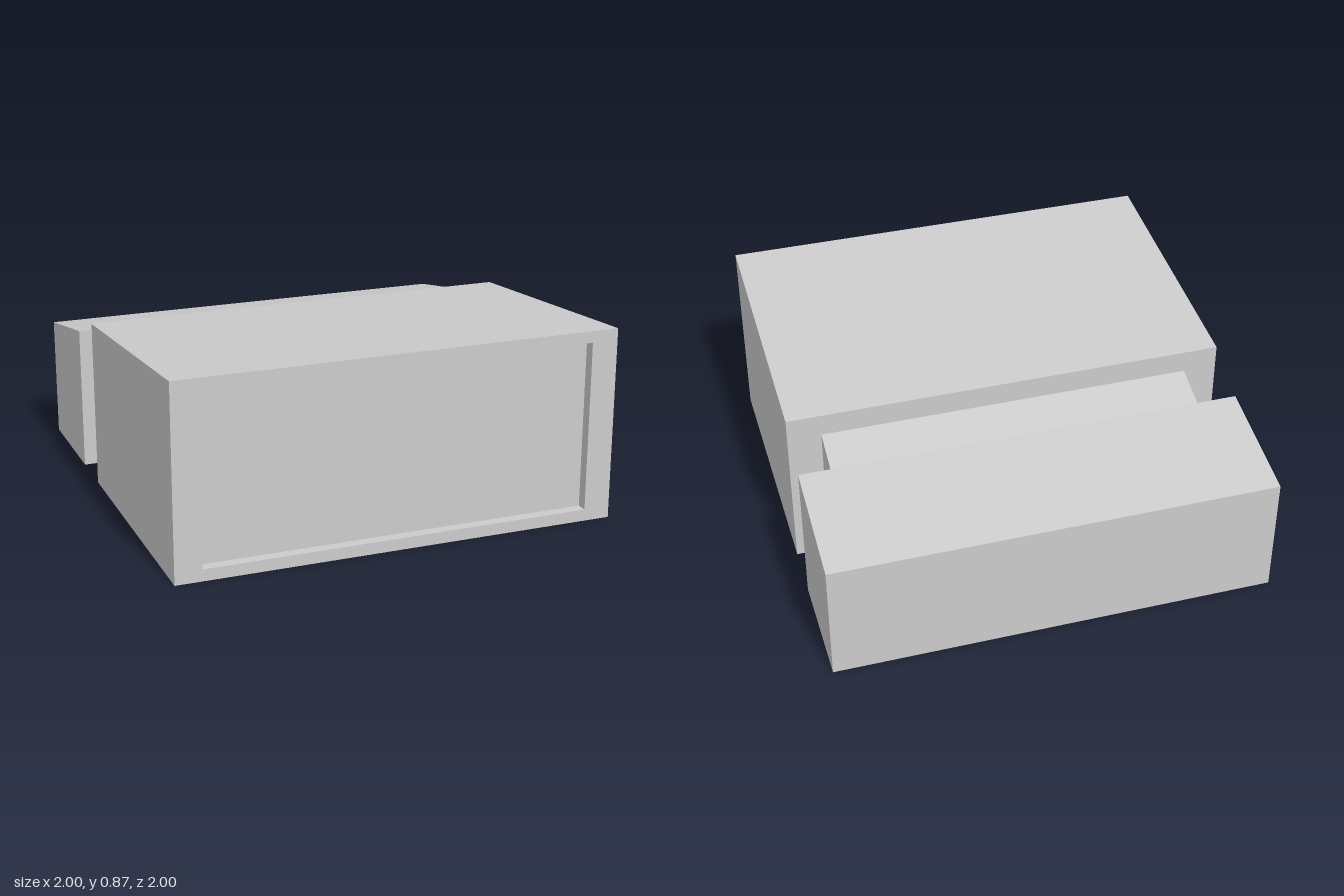
import * as THREE from 'three';

const material = new THREE.MeshStandardMaterial({ color: 0xcccccc, flatShading: true });

// Block with a sloping top: side profile in (z, y), extruded across x
function slopedBlock(name, width, zFront, zBack, yBottom, topFront, topBack) {
  const profile = new THREE.Shape([
    new THREE.Vector2(zBack, yBottom),
    new THREE.Vector2(zFront, yBottom),
    new THREE.Vector2(zFront, topFront),
    new THREE.Vector2(zBack, topBack),
  ]);
  const geometry = new THREE.ExtrudeGeometry(profile, { depth: width, bevelEnabled: false });
  geometry.rotateY(-Math.PI / 2).translate(width / 2, 0, 0);
  const mesh = new THREE.Mesh(geometry, material);
  mesh.name = name;
  return mesh;
}

// Corners of an upright rectangle centred on x = 0
function rectangle(halfWidth, bottom, top) {
  return [[-halfWidth, bottom], [halfWidth, bottom], [halfWidth, top], [-halfWidth, top]]
    .map(([x, y]) => new THREE.Vector2(x, y));
}

export function createModel() {
  const group = new THREE.Group();
  group.name = 'steppedHousing';

  const height = 0.872, recess = 0.05, frontZ = 1;
  const slope = (height - 0.768) / 1.222;
  const panelTop = height - slope * recess;

  // Main body, its front face being the floor of the recessed panel
  group.add(slopedBlock('mainBody', 2, frontZ - recess, -0.222, 0, panelTop, 0.768));

  // Raised rim around the front panel, its top following the body's slope
  const outline = new THREE.Shape(rectangle(1, 0, height));
  outline.holes.push(new THREE.Path(rectangle(0.88, 0.053, 0.82).reverse()));
  const rimGeometry = new THREE.ExtrudeGeometry(outline, { depth: recess, bevelEnabled: false });
  rimGeometry.translate(0, 0, frontZ - recess);
  const p = rimGeometry.attributes.position;
  for (let i = 0; i < p.count; i++) {
    if (p.getY(i) > height - 0.01) p.setY(i, height - slope * (frontZ - p.getZ(i)));
  }
  rimGeometry.computeVertexNormals();
  const rim = new THREE.Mesh(rimGeometry, material);
  rim.name = 'frontRim';
  group.add(rim);

  // Narrow neck joining the two blocks
  group.add(slopedBlock('neck', 1.696, -0.222, -0.467, 0.09, 0.665, 0.588));

  // Lower rear block
  group.add(slopedBlock('rearBlock', 2, -0.467, -1, 0, 0.665, 0.562));

  return group;
}
